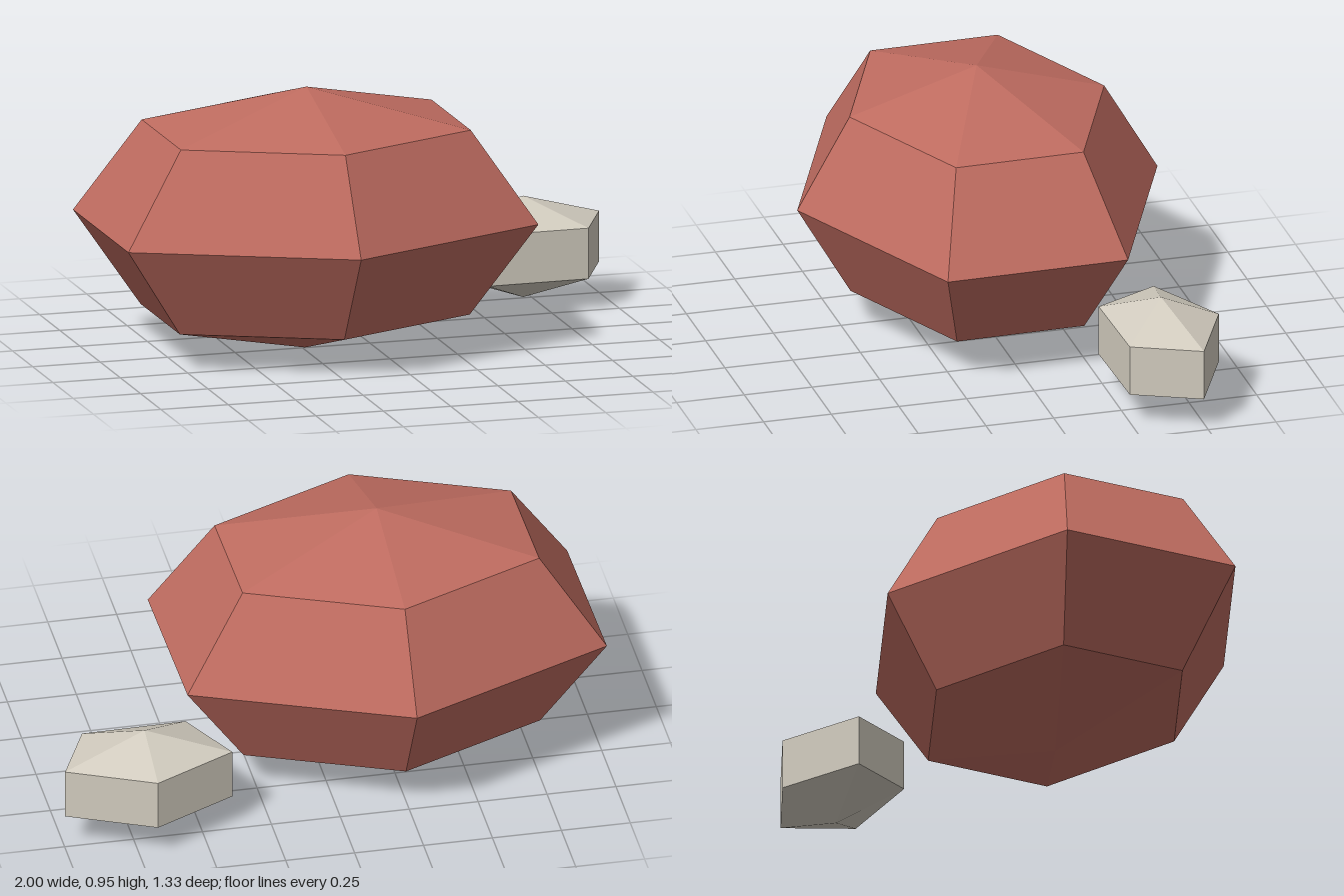
import * as THREE from 'three';

const red = new THREE.MeshStandardMaterial({ name: 'red stone', color: 0xbf6c60, flatShading: true });
const beige = new THREE.MeshStandardMaterial({ name: 'beige stone', color: 0xd2ccbf, flatShading: true });

// Faceted stone: a coarse sphere with one corner pointing back, stretched to its radii
function makeStone(name, material, sides, rows, radii, position, rotation) {
  const geometry = new THREE.SphereGeometry(1, sides, rows, -Math.PI / 2);
  geometry.scale(...radii);
  const stone = new THREE.Mesh(geometry, material);
  stone.name = name;
  stone.position.set(...position);
  stone.rotation.set(...rotation);
  return stone;
}

export function createModel() {
  const group = new THREE.Group();
  group.name = 'rocks';
  group.add(
    // Six-sided boulder with four rows of facets
    makeStone('largeRock', red, 6, 4, [0.88, 0.477, 0.667], [-0.238, 0.48, 0], [0.006, 0.009, -0.004]),
    // Five-sided pebble with an upright band between two caps
    makeStone('smallRock', beige, 5, 3, [0.37, 0.185, 0.248], [0.692, 0.213, -0.413], [0, 0.02, 0]),
  );
  return group;
}
